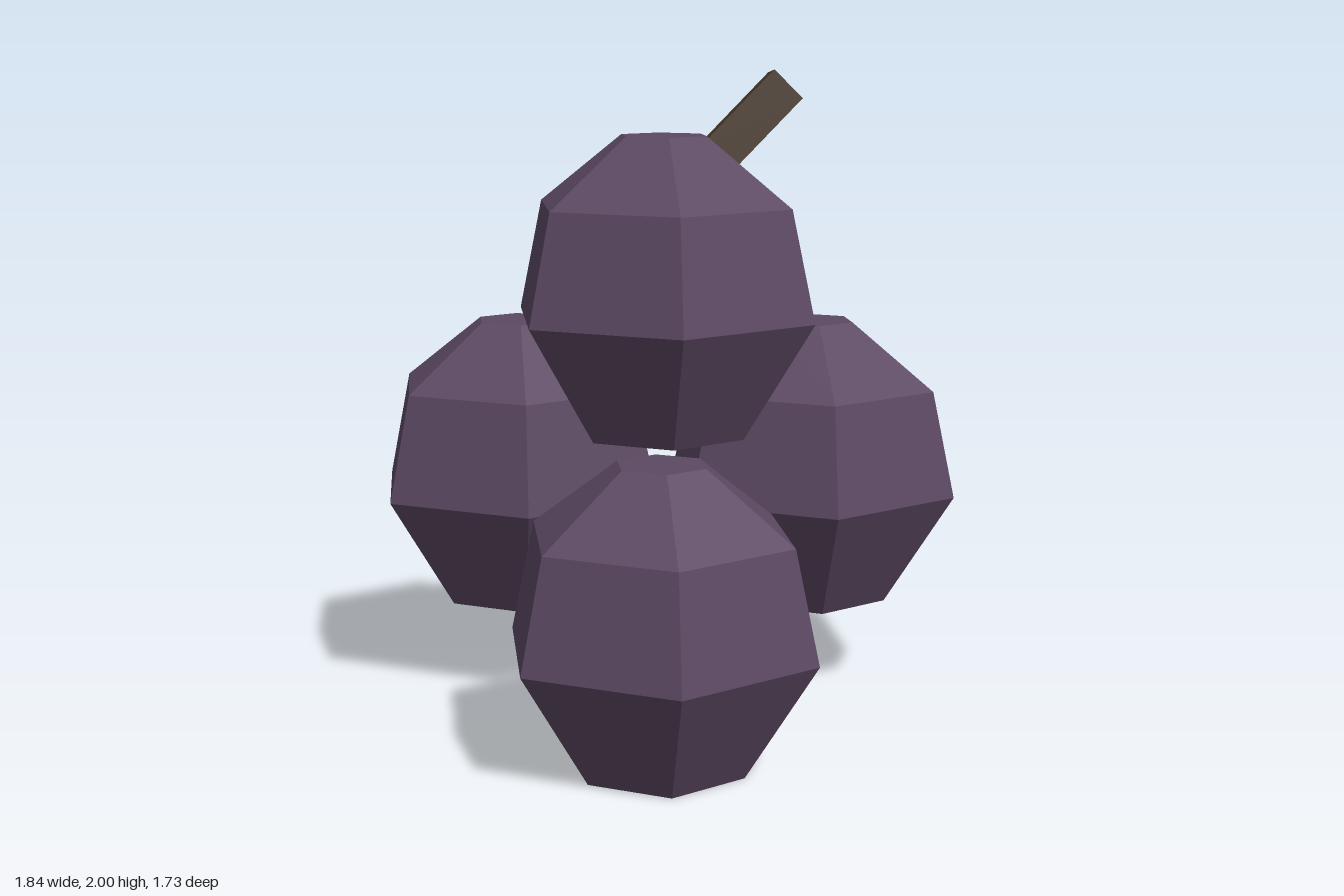
import * as THREE from 'three';

export function createModel() {
  const group = new THREE.Group();
  const skin = new THREE.MeshStandardMaterial({ color: 0x5c4963, flatShading: true });
  const bark = new THREE.MeshStandardMaterial({ color: 0x4a392b, flatShading: true });

  // One six-sided berry, standing on its flat bottom, slightly wider in x
  const profile = [[0, 0], [0.253, 0], [0.469, 0.363], [0.396, 0.699], [0.134, 0.905], [0, 0.905]]
    .map(([r, y]) => new THREE.Vector2(r, y));
  const berryGeometry = new THREE.LatheGeometry(profile, 6, THREE.MathUtils.degToRad(7.5));
  berryGeometry.scale(1.035, 1, 1);

  // Cluster of four berries
  const berries = {
    frontBerry: [0, 0, 0.4],
    leftBerry: [0.468, 0.295, -0.4],
    rightBerry: [-0.472, 0.295, -0.4],
    topBerry: [0, 0.905, -0.035],
  };
  for (const [name, position] of Object.entries(berries)) {
    const berry = new THREE.Mesh(berryGeometry, skin);
    berry.name = name;
    berry.position.set(...position);
    group.add(berry);
  }

  // Slanted square stem, sunk a little into the top berry
  const length = 0.34;
  const axis = new THREE.Vector3(0.69, 0.705, -0.165).normalize();
  const across = new THREE.Vector3().crossVectors(axis, new THREE.Vector3(0.13, 0.1, 1)).normalize();
  const side = new THREE.Vector3().crossVectors(across, axis);
  const stem = new THREE.Mesh(new THREE.BoxGeometry(0.12, length, 0.112), bark);
  stem.name = 'stem';
  stem.quaternion.setFromRotationMatrix(new THREE.Matrix4().makeBasis(across, axis, side));
  stem.position.set(0.364, 1.954, -0.125).addScaledVector(axis, -length / 2);
  group.add(stem);

  return group;
}
